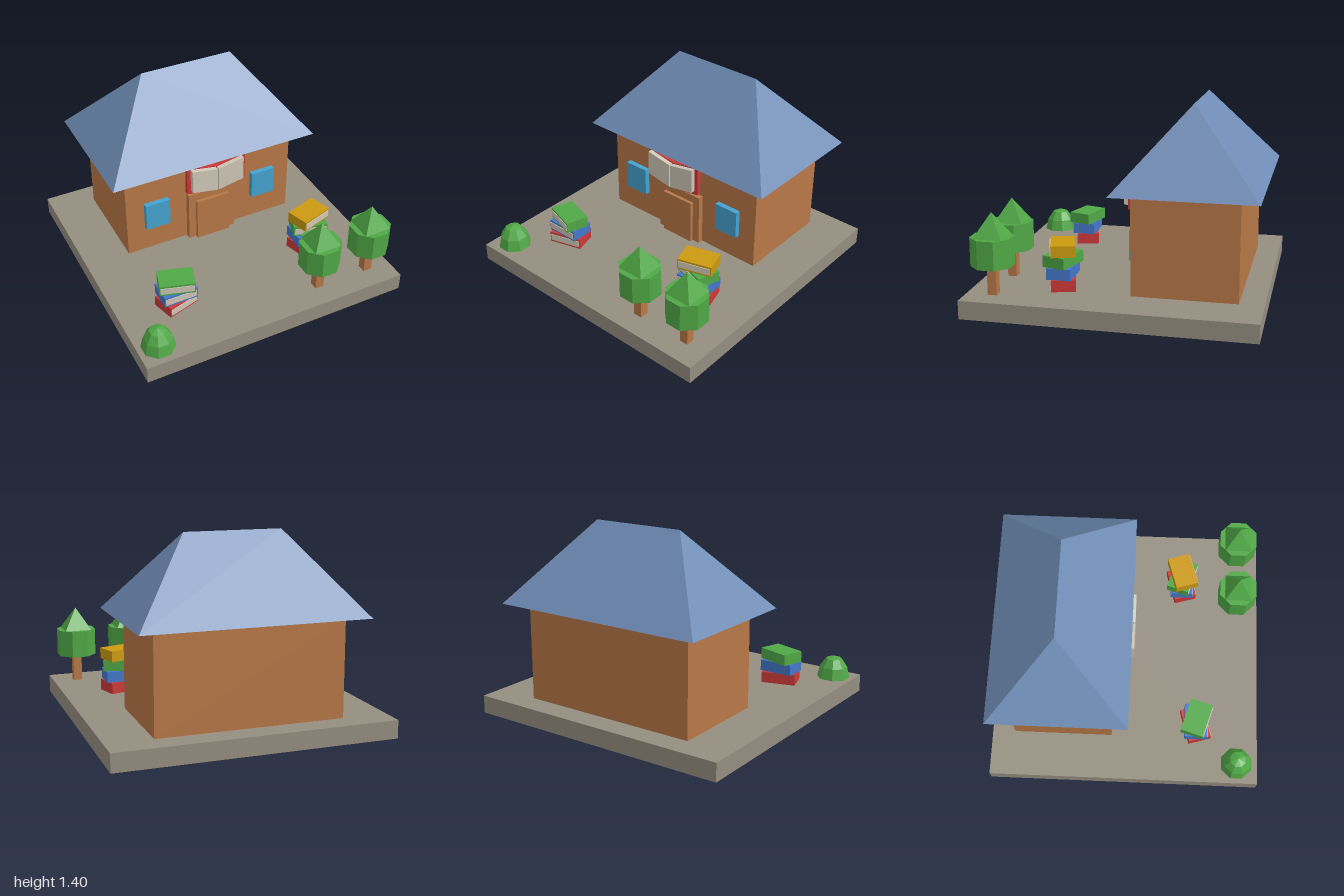
import * as THREE from 'three';
import { ConvexGeometry } from 'three/addons/geometries/ConvexGeometry.js';

const material = (name, color, extra = {}) => {
  const m = new THREE.MeshStandardMaterial({ color, flatShading: true, ...extra });
  m.name = name;
  return m;
};

export function createModel() {
  const mats = {
    stone: material('stone', 0x958e80, { side: THREE.DoubleSide }),
    wood: material('wood', 0xb87847),
    roof: material('roof blue', 0x6f8cb5),
    window: material('window blue', 0x45a2cf),
    red: material('red', 0xcc3838),
    blue: material('blue', 0x4478cc),
    green: material('green', 0x50a846),
    yellow: material('yellow', 0xcc9a10),
    paper: material('paper', 0xd0c8b7),
  };
  const model = new THREE.Group();
  model.name = 'library';

  const add = (parent, name, geometry, mat, x = 0, y = 0, z = 0) => {
    const mesh = new THREE.Mesh(geometry, mat);
    mesh.name = name;
    mesh.position.set(x, y, z);
    parent.add(mesh);
    return mesh;
  };
  // Box given by its lower and upper corners
  const block = (parent, name, mat, [x0, y0, z0], [x1, y1, z1]) =>
    add(parent, name, new THREE.BoxGeometry(x1 - x0, y1 - y0, z1 - z0), mat,
      (x0 + x1) / 2, (y0 + y1) / 2, (z0 + z1) / 2);
  const group = (name, x, y, z) => {
    const g = new THREE.Group();
    g.name = name;
    g.position.set(x, y, z);
    model.add(g);
    return g;
  };

  const GROUND = 0.13;

  // Hollow base slab, open underneath
  const slab = new THREE.BoxGeometry(2, GROUND, 2);
  const faces = Array.from(slab.index.array);
  faces.splice(18, 6);
  slab.setIndex(faces);
  slab.clearGroups();
  add(model, 'base', slab, mats.stone, 0, GROUND / 2, 0);

  // House
  block(model, 'walls', mats.wood, [-0.67, GROUND, -0.83], [0.67, 0.838, -0.1]);
  block(model, 'doorFrame', mats.wood, [-0.19, GROUND, -0.1], [0.19, 0.53, -0.058]);
  block(model, 'door', mats.wood, [-0.132, GROUND, -0.058], [0.132, 0.47, -0.032]);
  for (const s of [-1, 1]) {
    add(model, s > 0 ? 'leftWindow' : 'rightWindow', new THREE.BoxGeometry(0.19, 0.215, 0.04),
      mats.window, s * 0.435, 0.443, -0.08);
  }

  // Hipped roof
  const roofPoints = [];
  for (const s of [-1, 1]) {
    roofPoints.push(new THREE.Vector3(s * 0.8, 0.836, 0.03),
      new THREE.Vector3(s * 0.8, 0.836, -0.965),
      new THREE.Vector3(s * 0.35, 1.4, -0.467));
  }
  add(model, 'roof', new ConvexGeometry(roofPoints), mats.roof);

  // Open book sign: slanted halves, inner edge lower than outer edge
  const sign = group('bookSign', 0, 0, 0);
  const slantedHalf = (name, mat, s, inner, outer, z, depth) => {
    const shape = new THREE.Shape([
      new THREE.Vector2(s * inner[0], inner[1]), new THREE.Vector2(s * outer[0], outer[1]),
      new THREE.Vector2(s * outer[0], outer[2]), new THREE.Vector2(s * inner[0], inner[2]),
    ]);
    add(sign, name, new THREE.ExtrudeGeometry(shape, { depth, bevelEnabled: false }), mat, 0, 0, z);
  };
  for (const s of [-1, 1]) {
    slantedHalf('signCover', mats.red, s, [0, 0.577, 0.795], [0.233, 0.615, 0.837], -0.015, 0.03);
    slantedHalf('signPages', mats.paper, s, [0.005, 0.603, 0.788], [0.205, 0.64, 0.825], 0.015, 0.035);
  }

  // Stacks of books, each turned a little, pages facing forward
  const stack = (name, x, z, books) => {
    const pile = group(name, x, GROUND, z);
    books.forEach(([colour, degrees], i) => {
      const book = new THREE.Group();
      book.name = colour + 'Book';
      book.position.y = 0.0405 + i * 0.081;
      book.rotation.y = THREE.MathUtils.degToRad(degrees);
      pile.add(book);
      add(book, 'cover', new THREE.BoxGeometry(0.25, 0.081, 0.17), mats[colour]);
      add(book, 'pages', new THREE.BoxGeometry(0.235, 0.05, 0.008), mats.paper, 0, 0, 0.086);
    });
  };
  stack('rightBookStack', -0.57, 0.53, [['red', 16], ['blue', 0], ['green', -17]]);
  stack('leftBookStack', 0.567, 0.397, [['red', 16], ['blue', 0], ['green', -17], ['yellow', 17]]);

  // Trees: square trunk, eight-sided crown, pyramid top
  for (const x of [0.406, 0.814]) {
    const tree = group('tree', x, 0, 0.815);
    block(tree, 'trunk', mats.wood, [-0.032, GROUND, -0.032], [0.032, 0.335, 0.032]);
    add(tree, 'crown', new THREE.CylinderGeometry(0.149, 0.149, 0.2, 8).rotateY(Math.PI / 8),
      mats.green, 0, 0.435, 0);
    add(tree, 'treeTop', new THREE.ConeGeometry(0.1414, 0.165, 4).rotateY(Math.PI / 4),
      mats.green, 0, 0.6175, 0);
  }

  // Faceted round bush
  const profile = [[0.121, 0], [0.102, 0.083], [0.06, 0.146], [0, 0.166]]
    .map(([r, y]) => new THREE.Vector2(r, y));
  add(model, 'bush', new THREE.LatheGeometry(profile, 8).rotateY(Math.PI / 8),
    mats.green, -0.85, GROUND, 0.843);

  return model;
}
